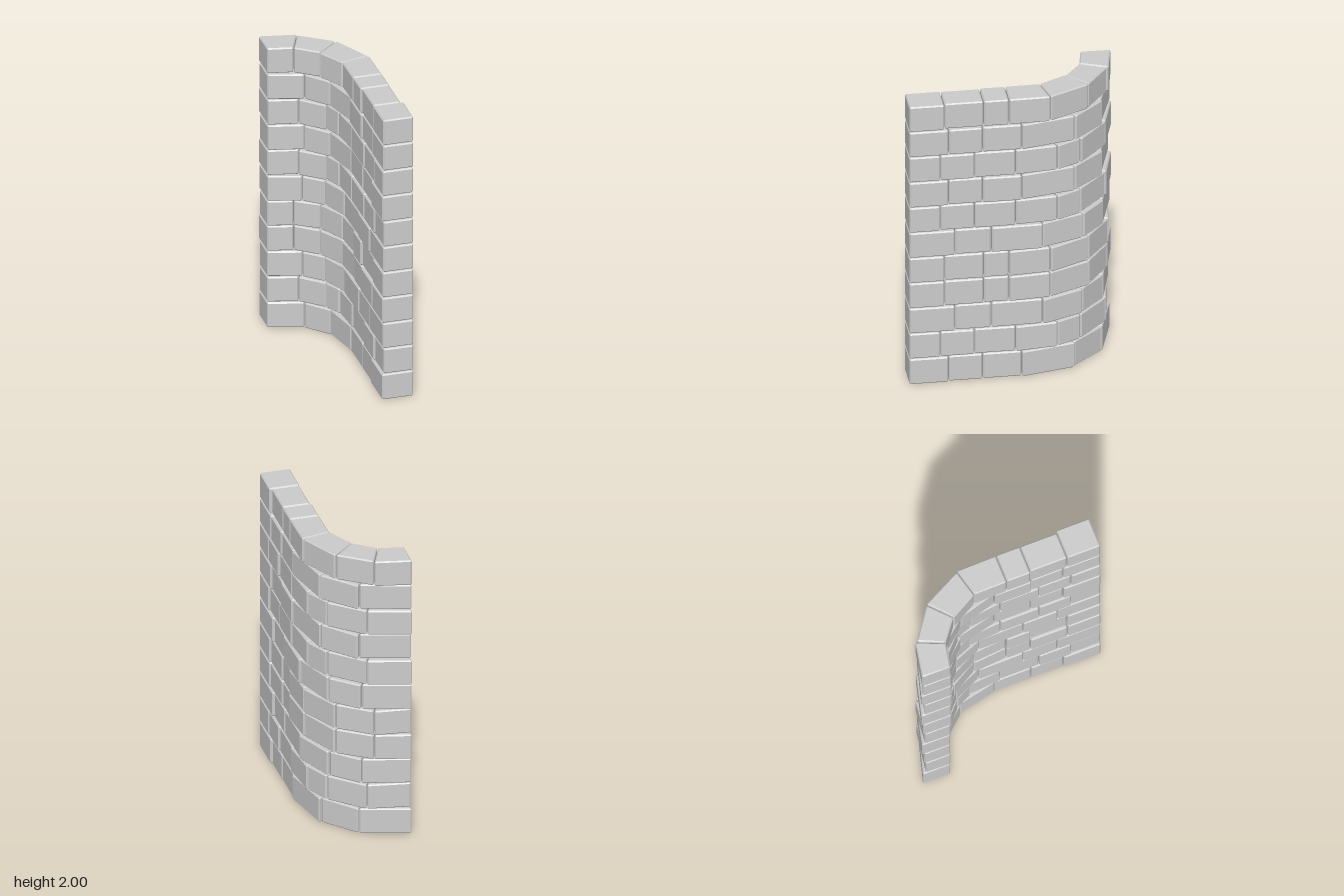
import * as THREE from 'three';
import { ConvexGeometry } from 'three/addons/geometries/ConvexGeometry.js';

const ROWS = 11, ROW_H = 2 / ROWS;
const OUTER_R = 0.62, INNER_R = 0.41; // bend radii, thickness 0.21
const CX = -0.31, CZ = -0.08;         // centre of the bend
const GAP = 0.003, BEVEL = 0.008;

// Joint positions along the outer face, front to back; patterns repeat between rows
const PATTERNS = {
  a: [0.70, 0.47, 0.215, 0.05, -0.224, -0.492, -0.649, -0.70],
  b: [0.70, 0.443, 0.222, -0.032, -0.392, -0.60, -0.70],
  c: [0.70, 0.497, 0.275, 0.008, -0.272, -0.436, -0.628, -0.70],
  d: [0.70, 0.402, 0.165, -0.172, -0.45, -0.61, -0.70],
};
const ROW_PATTERNS = 'bcdaadcbcba'; // bottom to top
const END_RECESS = [0.01, 0.03, 0.02, 0.005, 0.025, 0.01, 0, 0.02, 0, 0.01, 0.005];

function seeded(seed) {
  return () => (seed = (seed * 16807) % 2147483647) / 2147483647;
}

// Radial joint line of the wall for an outer-face position z
function station(z) {
  const at = (r, off) => {
    if (z >= CZ) return new THREE.Vector2(CX + r + off, z);
    const t = Math.asin(Math.min(1, (CZ - z) / OUTER_R));
    return new THREE.Vector2(CX + (r + off) * Math.cos(t), CZ - (r + off) * Math.sin(t));
  };
  return { inner: off => at(INNER_R, off), outer: off => at(OUTER_R, off) };
}

// Chamfered block over a four-cornered plan [innerA, outerA, outerB, innerB]
function blockGeometry(plan, y0, y1) {
  const [ia, oa, ob, ib] = plan;
  const length = ia.distanceTo(ib) / 2 + oa.distanceTo(ob) / 2;
  const width = ia.distanceTo(oa);
  const point = (u, v, y) => {
    const p = ia.clone().lerp(oa, u).lerp(ib.clone().lerp(ob, u), v);
    return new THREE.Vector3(p.x, y, p.y);
  };
  const side = (s, size, inset) => (s ? 1 - inset / size : inset / size);
  const pts = [];
  for (const i of [0, 1]) for (const j of [0, 1]) for (const k of [0, 1]) {
    // each corner becomes three points, one on each neighbouring face
    for (const face of [0, 1, 2]) {
      const u = side(i, width, face === 0 ? 0 : BEVEL);
      const v = side(j, length, GAP + (face === 1 ? 0 : BEVEL));
      const w = side(k, y1 - y0, face === 2 ? 0 : BEVEL);
      pts.push(point(u, v, y0 + w * (y1 - y0)));
    }
  }
  return new ConvexGeometry(pts);
}

export function createModel() {
  const wall = new THREE.Group();
  wall.name = 'curvedBrickWall';
  const material = new THREE.MeshStandardMaterial({ color: 0xcccccc, flatShading: true });
  const random = seeded(4711);

  for (let r = 0; r < ROWS; r++) {
    const course = new THREE.Group();
    course.name = `brickCourse${r + 1}`;
    const joints = PATTERNS[ROW_PATTERNS[r]];
    const y0 = r * ROW_H + (r ? GAP : 0);
    const y1 = (r + 1) * ROW_H - (r < ROWS - 1 ? GAP : 0);

    for (let i = 0; i < joints.length - 1; i++) {
      const a = station(joints[i]), b = station(joints[i + 1]);
      const last = i === joints.length - 2;
      // small differences in brick depth
      const inA = random() * 0.015, inB = i < 3 ? inA : random() * 0.015;
      const outA = i === 0 ? 0 : -random() * 0.018;
      const outB = last ? -END_RECESS[r] : i < 3 ? outA : -random() * 0.015;
      const plan = [a.inner(inA), a.outer(outA), b.outer(outB), b.inner(inB)];
      const brick = new THREE.Mesh(blockGeometry(plan, y0, y1), material);
      brick.name = 'brick';
      course.add(brick);
    }
    wall.add(course);
  }
  return wall;
}
